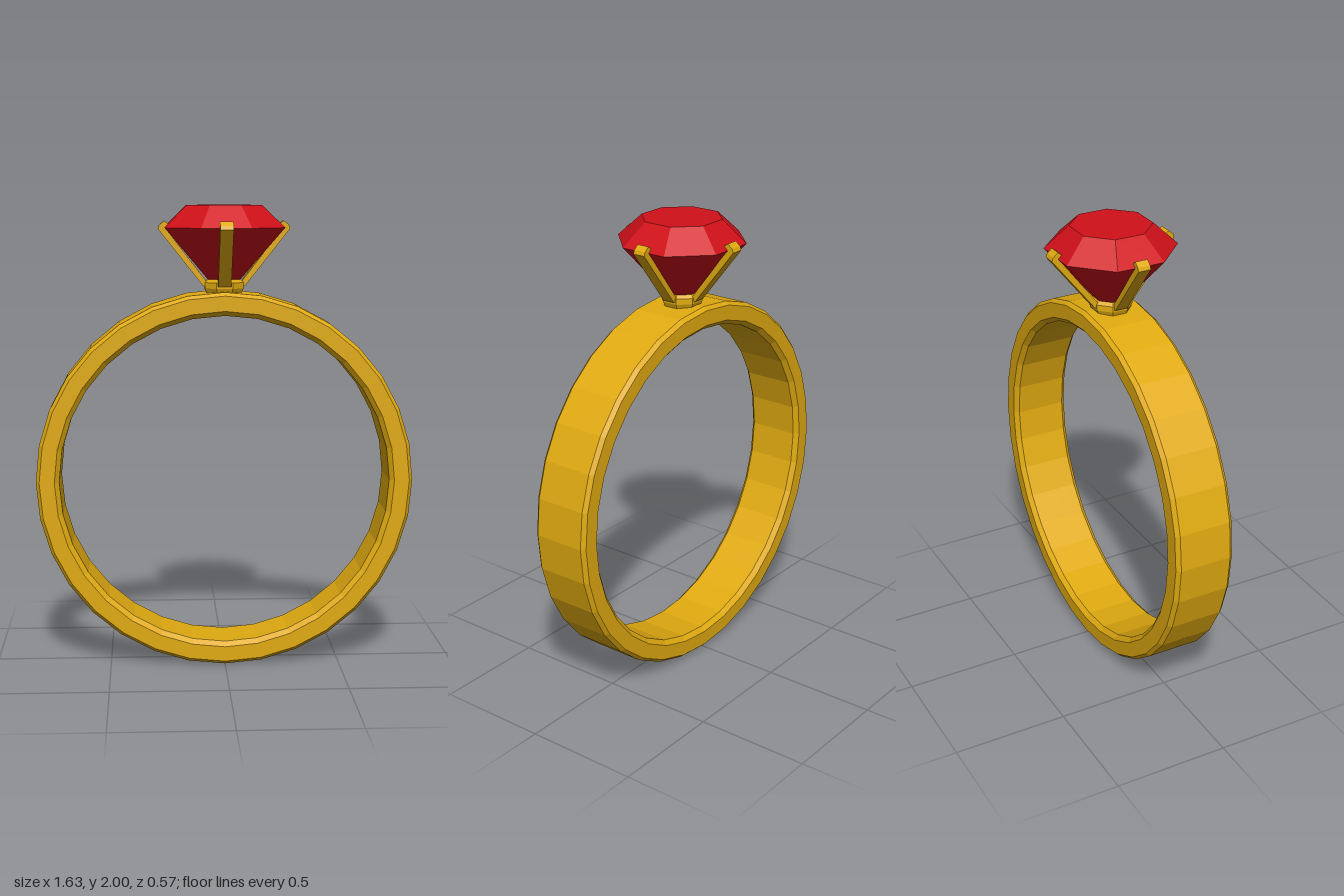
import * as THREE from 'three';

const gold = new THREE.MeshStandardMaterial({ color: 0xe0aa10, flatShading: true });
const red = new THREE.MeshStandardMaterial({ color: 0xd01019, flatShading: true });

// Lathe from [radius, height] pairs listed from bottom to top
function lathe(points, sides, phase = 0) {
  return new THREE.LatheGeometry(points.map(([r, h]) => new THREE.Vector2(r, h)), sides, phase);
}

function addMesh(parent, name, geometry, material) {
  const mesh = new THREE.Mesh(geometry, material);
  mesh.name = name;
  parent.add(mesh);
  return mesh;
}

export function createModel() {
  const ring = new THREE.Group();
  ring.name = 'ring';

  // Band: bevelled closed section turned around the z axis
  const band = addMesh(ring, 'band', lathe([
    [0.735, -0.132], [0.8, -0.132], [0.815, -0.115], [0.815, 0.115],
    [0.8, 0.132], [0.735, 0.132], [0.715, 0.112], [0.715, -0.112], [0.735, -0.132],
  ], 32), gold);
  band.rotation.x = Math.PI / 2;
  band.position.y = 0.818;

  // Collar under the stone
  addMesh(ring, 'collar', lathe([
    [0, 1.61], [0.075, 1.61], [0.09, 1.645], [0.09, 1.67], [0.075, 1.685], [0, 1.685],
  ], 8, Math.PI / 8), gold);

  // Stone: pavilion, crown and flat table, flats facing the axes
  addMesh(ring, 'gem', lathe([
    [0, 1.6], [0.277, 1.905], [0.173, 2], [0, 2],
  ], 8, Math.PI / 8), red);

  // Prong: leaning bar with a small claw bent over the girdle
  const section = new THREE.Shape([
    [0.06, 1.655], [0.09, 1.655], [0.284, 1.9], [0.278, 1.916],
    [0.256, 1.934], [0.238, 1.92], [0.25, 1.9],
  ].map(([x, y]) => new THREE.Vector2(x, y)));
  const prongGeometry = new THREE.ExtrudeGeometry(section, { depth: 0.056, bevelEnabled: false });
  prongGeometry.translate(0, 0, -0.028);
  for (let i = 0; i < 4; i++) {
    addMesh(ring, 'prong', prongGeometry, gold).rotation.y = i * Math.PI / 2;
  }

  return ring;
}
